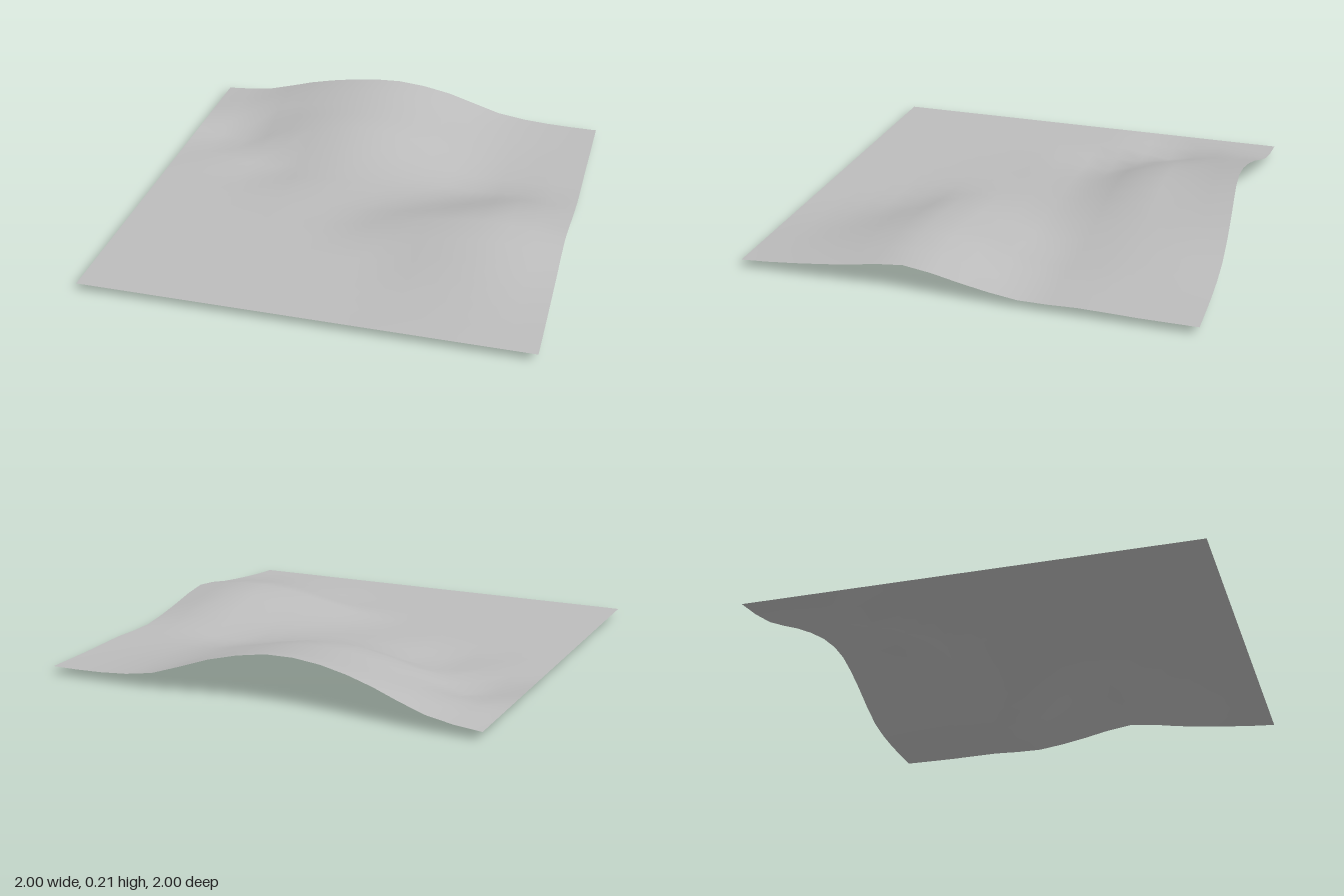
import * as THREE from 'three';

// Heights above the plain in hundredths, rows from back to front, columns from -x to +x
const HEIGHTS = [
  [0, 3, 10.5, 16, 17.5, 12.5, 3.5, 0.5, 0],
  [0, 2.5, 8, 12.5, 13.2, 9, 3, 0.5, 0],
  [0, -3.5, 5, 11, 11, 6, 1, 0.5, 0.5],
  [0, 0, -2.5, 2, 3, 1, -2, 0, 0],
  [0, 0, 0, 1.5, 1.5, 2, 5, 8.5, 4],
  [0, 0, 0, 0.5, 1.5, 7, 11.5, 12.5, 8.5],
  [0, 0, 0, 0, 0, 1, 5.5, 7.5, 5],
  [0, 0, 0, 0, 0, -0.3, 1, 2.5, 2],
  [0, 0, 0, 0, 0, 0, 0, 0, 0],
];
const PLAIN = 0.035;

// Catmull-Rom interpolation along a list, t in list steps
function spline(list, t) {
  const n = list.length - 1;
  const i = Math.min(Math.floor(t), n - 1);
  const f = t - i;
  const a = list[Math.max(i - 1, 0)], b = list[i], c = list[i + 1], d = list[Math.min(i + 2, n)];
  return b + 0.5 * f * (c - a + f * (2 * a - 5 * b + 4 * c - d + f * (3 * (b - c) + d - a)));
}

function heightAt(x, z) {
  const u = (x + 1) * 4, v = (z + 1) * 4;
  return PLAIN + 0.01 * spline(HEIGHTS.map((row) => spline(row, u)), v);
}

export function createModel() {
  const group = new THREE.Group();
  group.name = 'landscape';

  const ground = new THREE.MeshStandardMaterial({ color: 0xbcbcbc, side: THREE.DoubleSide });
  ground.name = 'stone grey';

  // Rolling sheet of land with two hills and a valley between them
  const geometry = new THREE.PlaneGeometry(2, 2, 16, 16).rotateX(-Math.PI / 2);
  const p = geometry.attributes.position;
  for (let i = 0; i < p.count; i++) {
    const x = p.getX(i), z = p.getZ(i);
    const y = heightAt(x, z);
    // The back rim leans inwards where the large hill is highest
    const rim = Math.max(0, 1 - (z + 1) / 0.5);
    const lean = 0.053 * rim * Math.exp(-(((x + 0.2) / 0.45) ** 2));
    const slide = Math.abs(x) < 1 ? -0.2 * rim * Math.max(0, y - PLAIN) : 0;
    p.setXYZ(i, x + slide, Math.max(0, y), z + lean);
  }
  geometry.computeVertexNormals();

  const terrain = new THREE.Mesh(geometry, ground);
  terrain.name = 'terrain';
  group.add(terrain);
  return group;
}
